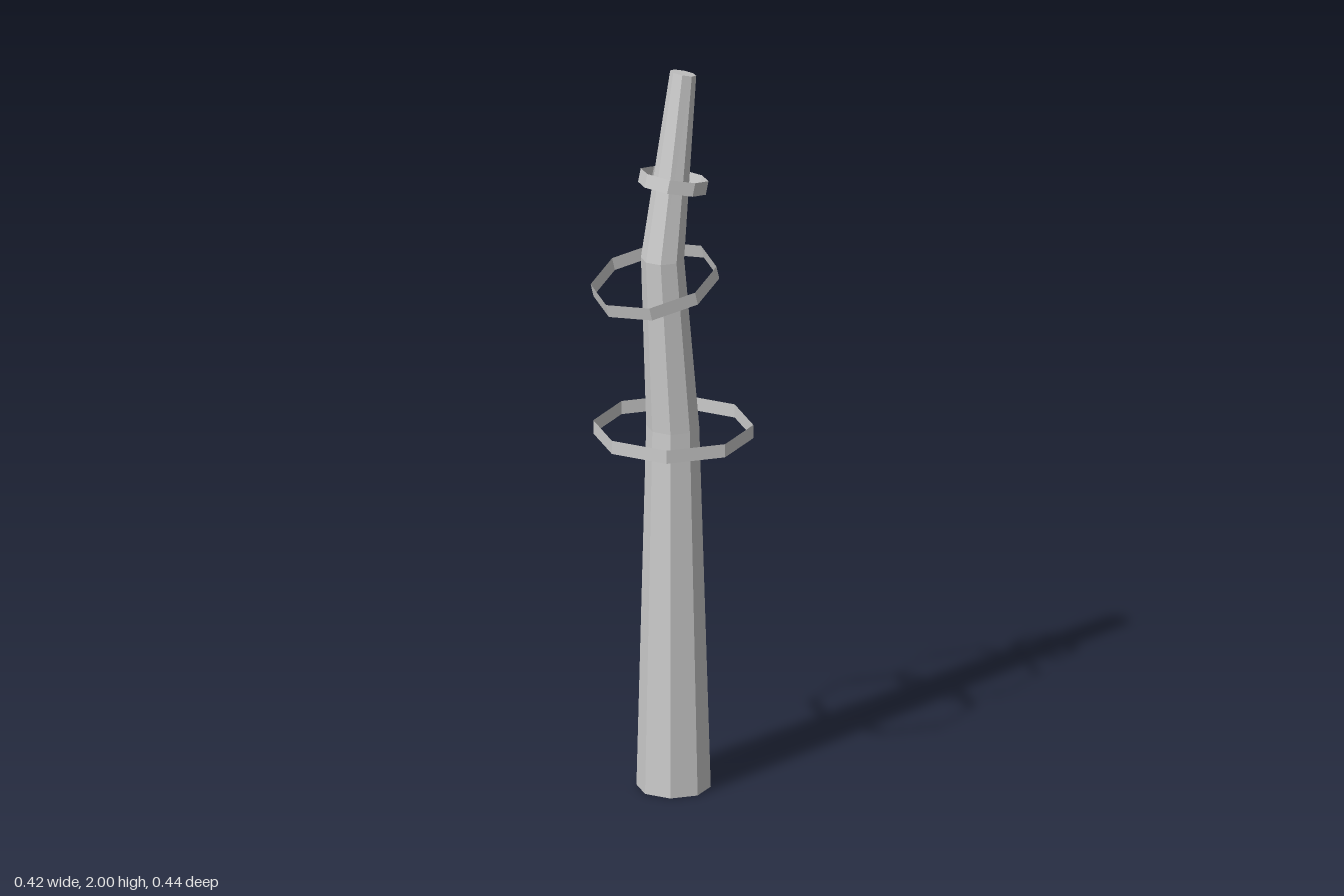
import * as THREE from 'three';

const SIDES = 8;

export function createModel() {
  const group = new THREE.Group();
  const solid = new THREE.MeshStandardMaterial({ color: 0xcccccc, flatShading: true });
  const thin = new THREE.MeshStandardMaterial({ color: 0xcccccc, flatShading: true, side: THREE.DoubleSide });

  // Bent, tapering shaft: each section has height, z offset, radius and tilt
  const sections = [
    { y: 0, z: -0.012, r: 0.098, tilt: 0 },
    { y: 1.01, z: -0.009, r: 0.07, tilt: 0 },
    { y: 1.49, z: 0.026, r: 0.057, tilt: 0 },
    { y: 1.991, z: -0.045, r: 0.035, tilt: -0.25 },
  ];
  const geometry = new THREE.CylinderGeometry(1, 1, 3, SIDES, 3);
  const pos = geometry.attributes.position;
  for (let i = 0; i < pos.count; i++) {
    const s = sections[Math.round(pos.getY(i) + 1.5)];
    const x = pos.getX(i) * s.r;
    const z = pos.getZ(i) * s.r;
    pos.setXYZ(i, x, s.y - z * Math.sin(s.tilt), s.z + z * Math.cos(s.tilt));
  }
  geometry.computeVertexNormals();
  const shaft = new THREE.Mesh(geometry, solid);
  shaft.name = 'shaft';
  group.add(shaft);

  // Thin open bands floating around the shaft
  const addRing = (name, y, z, radiusX, radiusZ, tilt) => {
    const ring = new THREE.Mesh(new THREE.CylinderGeometry(1, 1, 0.037, SIDES, 1, true), thin);
    ring.name = name;
    ring.scale.set(radiusX, 1, radiusZ);
    ring.position.set(0, y, z);
    ring.rotation.x = tilt;
    group.add(ring);
  };
  addRing('lowerRing', 1.0, -0.011, 0.211, 0.211, 0);
  addRing('middleRing', 1.43, 0.052, 0.169, 0.169, 0.262);
  addRing('upperRing', 1.695, -0.011, 0.084, 0.097, -0.255);

  return group;
}
